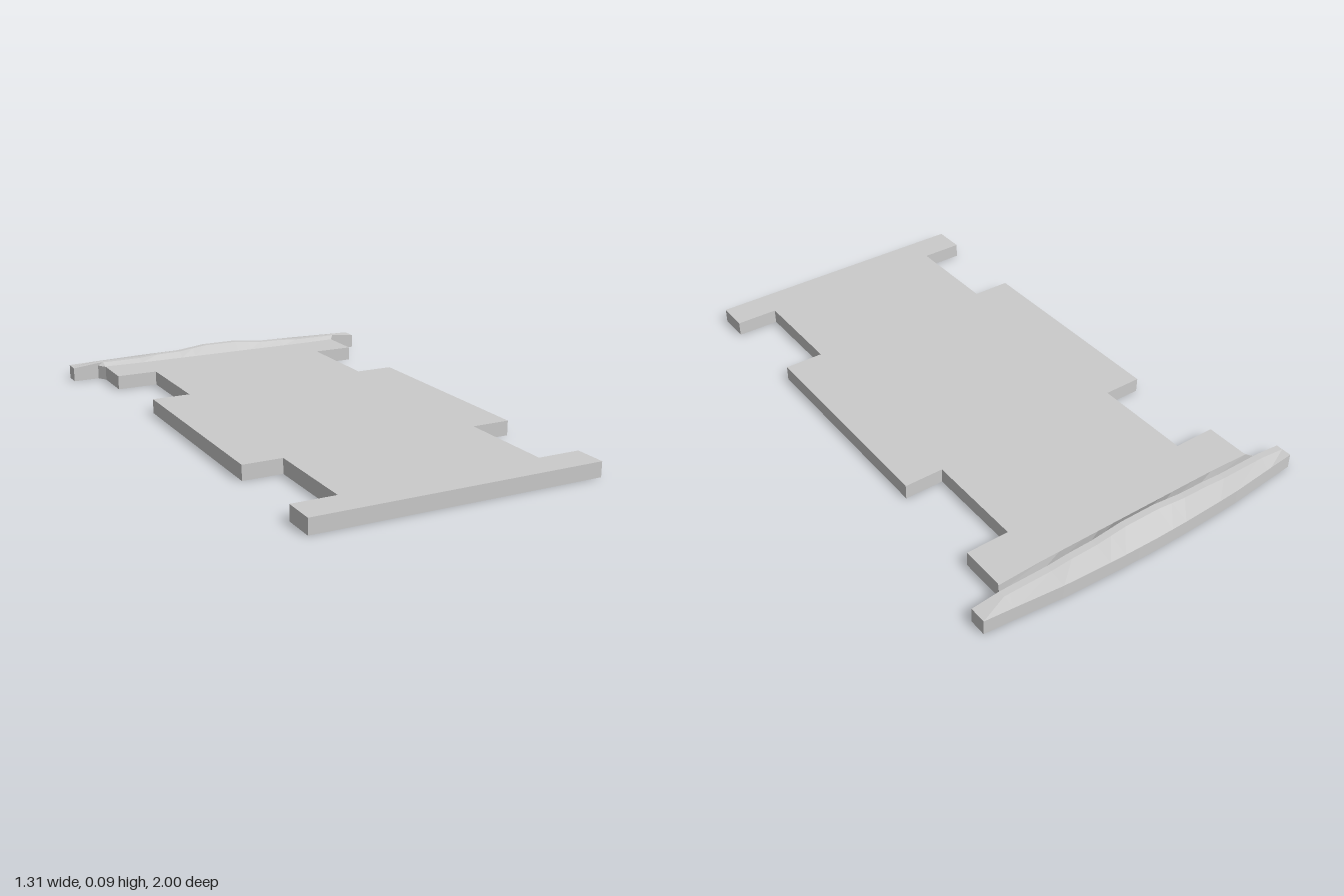
import * as THREE from 'three';

const T = 0.055; // plate thickness
const grey = () => new THREE.MeshStandardMaterial({ color: 0xcccccc, flatShading: true });

// Flat notched plate, mirrored about x = 0
function makePlate() {
  const half = [
    [0.53, 1], [0.53, 0.88], [0.37, 0.88], [0.37, 0.505], [0.517, 0.505], [0.517, -0.325],
    [0.37, -0.325], [0.37, -0.70], [0.53, -0.70], [0.53, -0.865], [0.552, -0.9],
  ];
  const outline = [...half, ...half.map(([x, z]) => [-x, z]).reverse()];
  const shape = new THREE.Shape(outline.map(([x, z]) => new THREE.Vector2(x, -z)));
  const geo = new THREE.ExtrudeGeometry(shape, { depth: T, bevelEnabled: false });
  geo.rotateX(-Math.PI / 2);
  const mesh = new THREE.Mesh(geo, grey());
  mesh.name = 'basePlate';
  return mesh;
}

// Raised rear lip, lofted through cross-sections along x
function makeRearLip() {
  // x, ridge height, back edge z, foot of the front slope
  const half = [
    [0, 0.088, -1, -0.865], [0.07, 0.088, -0.999, -0.865], [0.13, 0.081, -0.998, -0.865],
    [0.19, 0.074, -0.996, -0.865], [0.29, 0.072, -0.992, -0.865], [0.37, 0.066, -0.988, -0.865],
    [0.53, 0.066, -0.973, -0.87], [0.552, 0.066, -0.971, -0.9], [0.655, T, -0.962, -0.9],
  ];
  const stations = [...half.slice(1).reverse().map(([x, ...r]) => [-x, ...r]), ...half];
  const rings = stations.map(([x, h, back, foot]) => [
    [-0.9, 0], [-0.9, T], [foot, T], [-0.9, h], [-0.925, h], [back, T], [back, 0],
  ].map(([z, y]) => [x, y, z]));

  const pos = [];
  const tri = (a, b, c) => pos.push(...a, ...b, ...c);
  const n = rings[0].length;
  for (let i = 0; i < rings.length - 1; i++) {
    for (let j = 0; j < n; j++) {
      const k = (j + 1) % n;
      const [a, b, c, d] = [rings[i][j], rings[i][k], rings[i + 1][k], rings[i + 1][j]];
      tri(a, d, c);
      tri(a, c, b);
    }
  }
  // end caps
  const first = rings[0], last = rings[rings.length - 1];
  for (let j = 1; j < n - 1; j++) {
    tri(first[0], first[j], first[j + 1]);
    tri(last[0], last[j + 1], last[j]);
  }
  const geo = new THREE.BufferGeometry();
  geo.setAttribute('position', new THREE.Float32BufferAttribute(pos, 3));
  geo.computeVertexNormals();
  const mesh = new THREE.Mesh(geo, grey());
  mesh.name = 'rearLip';
  return mesh;
}

export function createModel() {
  const group = new THREE.Group();
  group.name = 'floorPanel';
  group.add(makePlate(), makeRearLip());
  return group;
}
